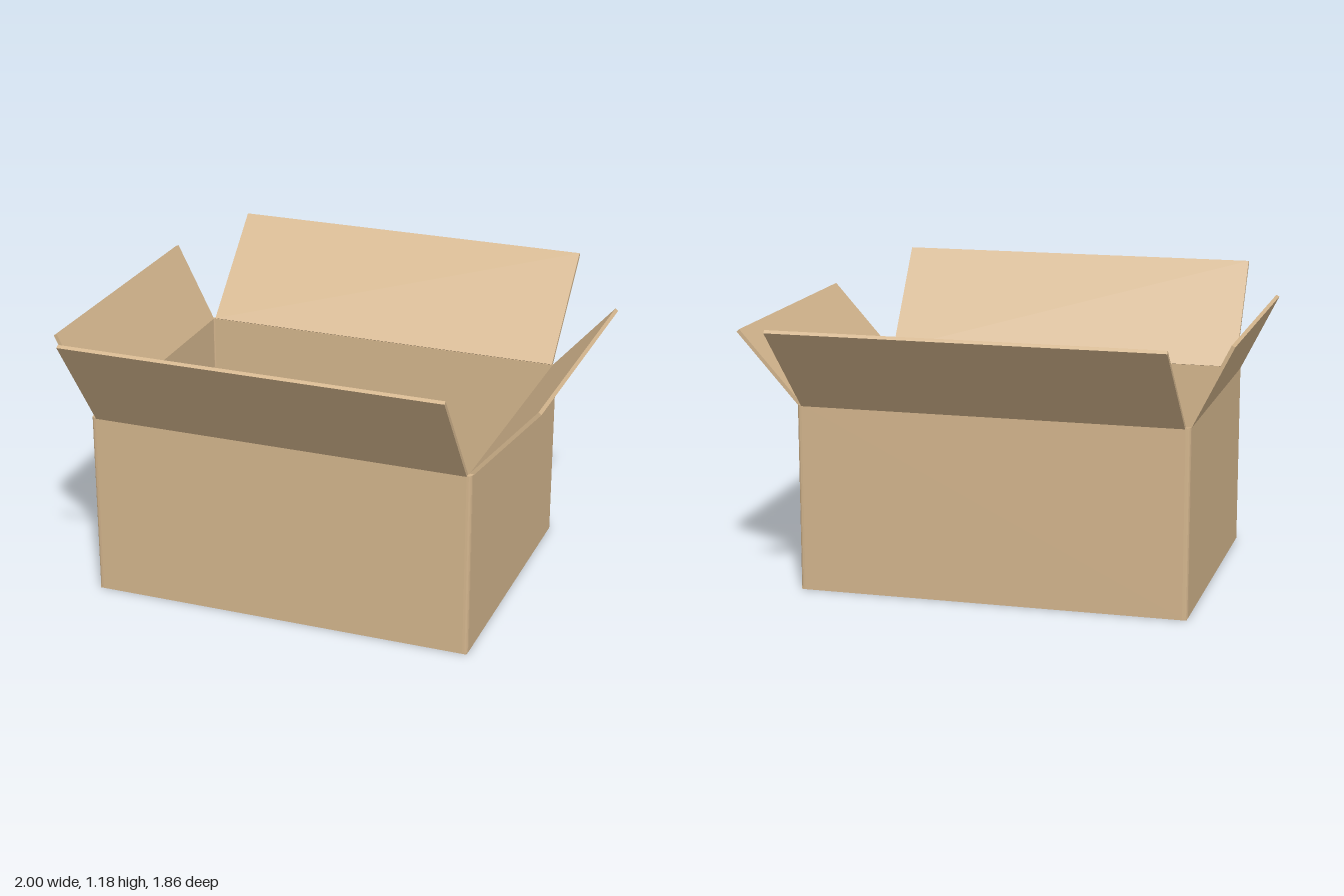
import * as THREE from 'three';

const T = 0.015; // board thickness
const X0 = -0.84, X1 = 0.745, Z0 = -0.55, Z1 = 0.64, H = 0.765;
const card = new THREE.MeshStandardMaterial({ color: 0xd2b48c });

// Rounded rectangle in plan, drawn on x and -z
function plan(path, inset, r) {
  const a = X0 + inset, b = X1 - inset, c = -Z1 + inset, d = -Z0 - inset;
  path.moveTo(a + r, c);
  path.lineTo(b - r, c).quadraticCurveTo(b, c, b, c + r);
  path.lineTo(b, d - r).quadraticCurveTo(b, d, b - r, d);
  path.lineTo(a + r, d).quadraticCurveTo(a, d, a, d - r);
  path.lineTo(a, c + r).quadraticCurveTo(a, c, a + r, c);
  return path;
}

// Flat board between two corners
function board(name, x0, x1, y0, y1, z0, z1) {
  const mesh = new THREE.Mesh(new THREE.BoxGeometry(x1 - x0, y1 - y0, z1 - z0), card);
  mesh.name = name;
  mesh.position.set((x0 + x1) / 2, (y0 + y1) / 2, (z0 + z1) / 2);
  return mesh;
}

// Leaning flap: [out, y] from the hinge to the tip, spanning s0..s1 along the fold
function flap(name, axis, hinge, tip, s0, s1) {
  const du = tip[0] - hinge[0], dy = tip[1] - hinge[1];
  const len = Math.hypot(du, dy), span = s1 - s0;
  const u = (hinge[0] + tip[0]) / 2, y = (hinge[1] + tip[1]) / 2, s = (s0 + s1) / 2;
  const alongX = axis === 'z';
  const geo = new THREE.BoxGeometry(alongX ? span : T, len, alongX ? T : span);
  const mesh = new THREE.Mesh(geo, card);
  mesh.name = name;
  const lean = Math.atan2(du, dy);
  if (alongX) {
    mesh.position.set(s, y, u);
    mesh.rotation.x = lean;
  } else {
    mesh.position.set(u, y, s);
    mesh.rotation.z = -lean;
  }
  return mesh;
}

export function createModel() {
  const box = new THREE.Group();
  box.name = 'openCardboardBox';

  // Four walls as one hollow sleeve with softly folded corners
  const outline = plan(new THREE.Shape(), 0, 0.02);
  outline.holes.push(plan(new THREE.Path(), T, 0.006));
  const sleeve = new THREE.ExtrudeGeometry(outline, { depth: H - 0.006, bevelEnabled: false, curveSegments: 4 });
  sleeve.rotateX(-Math.PI / 2);
  const walls = new THREE.Mesh(sleeve, card);
  walls.name = 'walls';
  walls.position.y = 0.006;
  box.add(walls);

  // Top flaps, folded outwards
  box.add(
    flap('leftFlap', 'x', [0.736, H - 0.003], [0.992, 1.05], -0.535, 0.615),
    flap('rightFlap', 'x', [-0.831, H - 0.003], [-0.993, 1.086], -0.535, 0.615),
    flap('frontFlap', 'z', [0.631, H - 0.003], [0.925, 1.177], -0.818, 0.726),
    flap('backFlap', 'z', [-0.541, H - 0.003], [-0.928, 1.13], -0.818, 0.726),
  );

  // Bottom flaps: a long outer pair with a narrow slit, a short inner pair on top
  box.add(
    board('bottomFrontFlap', X0 + 0.004, X1 - 0.004, 0, T, 0.046, Z1 - 0.004),
    board('bottomBackFlap', X0 + 0.004, X1 - 0.004, 0, T, Z0 + 0.004, 0.034),
    board('bottomRightFlap', X0 + 0.008, -0.385, T + 0.001, 2 * T, Z0 + T, Z1 - T),
    board('bottomLeftFlap', 0.292, X1 - 0.008, T + 0.001, 2 * T, Z0 + T, Z1 - T),
  );
  return box;
}
